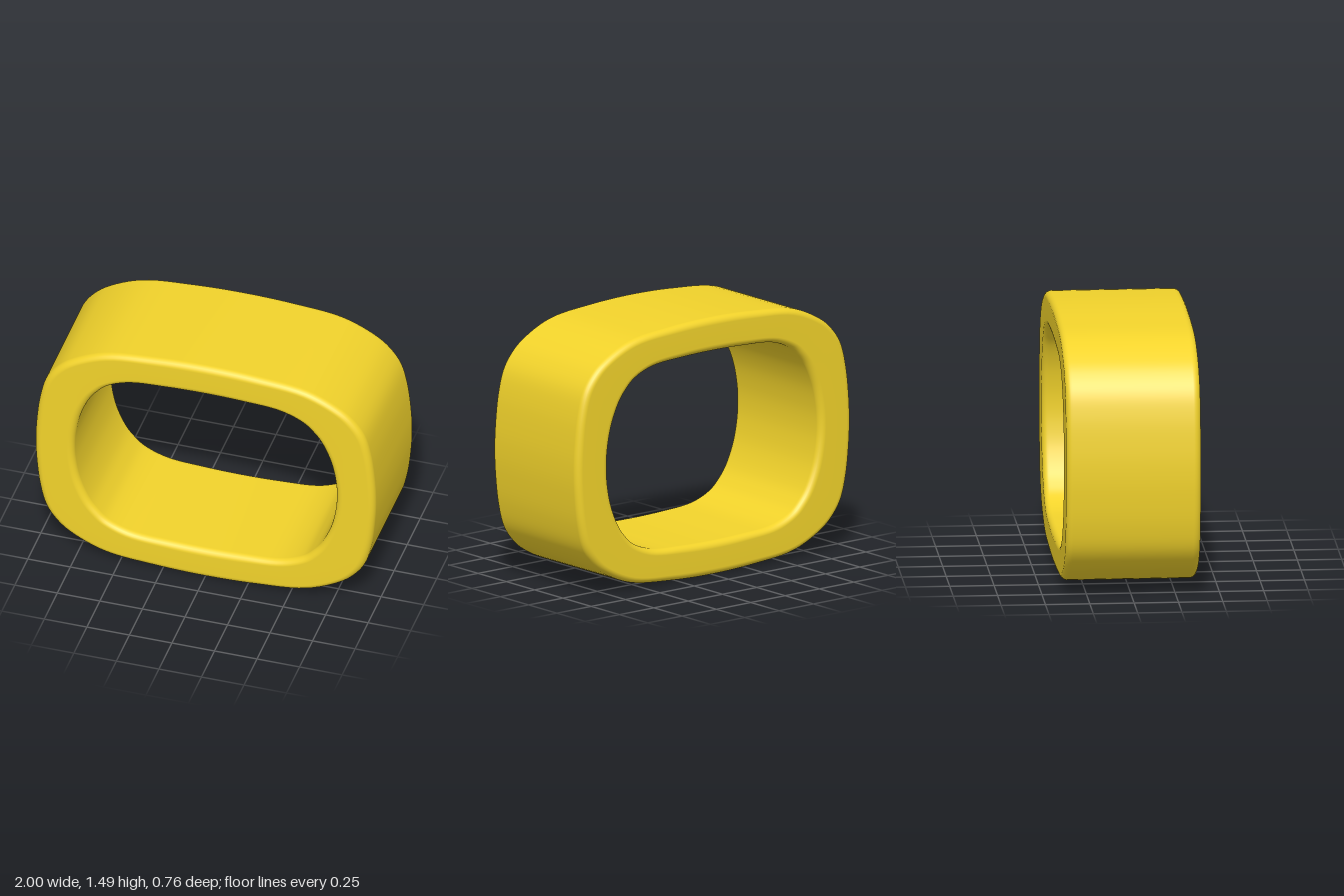
import * as THREE from 'three';

const CENTER_Y = 0.745, HALF_DEPTH = 0.38, BEVEL = 0.04;

// Mirror a quarter outline (from +x axis to +y axis) into a smooth closed curve
function closedOutline(quarter) {
  const half = [...quarter, ...quarter.slice(0, -1).reverse().map(([x, y]) => [-x, y])];
  const full = [...half, ...half.slice(1, -1).reverse().map(([x, y]) => [x, -y])];
  return new THREE.CatmullRomCurve3(full.map(([x, y]) => new THREE.Vector3(x, y, 0)), true);
}

const outer = closedOutline([[1, 0], [0.995, 0.13], [0.973, 0.315], [0.936, 0.45], [0.88, 0.535],
  [0.8, 0.605], [0.6, 0.698], [0.3, 0.734], [0, 0.745]]);
const inner = closedOutline([[0.77, 0], [0.763, 0.105], [0.735, 0.235], [0.68, 0.36], [0.63, 0.425],
  [0.57, 0.478], [0.44, 0.528], [0.22, 0.545], [0, 0.55]]);

// Rounded rectangle section: [inset from the outer wall, z] for a given wall thickness
function wallSection(thickness) {
  const corners = [[BEVEL, 1, 0], [thickness - BEVEL, 1, 1], [thickness - BEVEL, -1, 2], [BEVEL, -1, 3]];
  const points = [];
  for (const [inset, side, quarter] of corners) {
    for (let k = 0; k <= 6; k++) {
      const a = (quarter + k / 6) * Math.PI / 2;
      points.push([inset - BEVEL * Math.cos(a), side * (HALF_DEPTH - BEVEL) + BEVEL * Math.sin(a)]);
    }
  }
  return points;
}

// Sweep the section around the two outlines
function ringGeometry(segments) {
  const positions = [], index = [];
  let count = 0;
  for (let i = 0; i < segments; i++) {
    const o = outer.getPoint(i / segments), n = inner.getPoint(i / segments);
    const inward = n.clone().sub(o);
    const thickness = inward.length();
    inward.normalize();
    const section = wallSection(thickness);
    count = section.length;
    for (const [inset, z] of section) {
      positions.push(o.x + inward.x * inset, CENTER_Y + o.y + inward.y * inset, z);
    }
  }
  for (let i = 0; i < segments; i++) {
    for (let j = 0; j < count; j++) {
      const i2 = (i + 1) % segments, j2 = (j + 1) % count;
      const a = i * count + j, b = i2 * count + j, c = i2 * count + j2, d = i * count + j2;
      index.push(a, b, c, a, c, d);
    }
  }
  const geometry = new THREE.BufferGeometry();
  geometry.setAttribute('position', new THREE.Float32BufferAttribute(positions, 3));
  geometry.setIndex(index);
  geometry.computeVertexNormals();
  return geometry;
}

export function createModel() {
  const group = new THREE.Group();
  const material = new THREE.MeshStandardMaterial({ color: 0xf2d32b });
  const ring = new THREE.Mesh(ringGeometry(192), material);
  ring.name = 'roundedRing';
  group.add(ring);
  return group;
}
